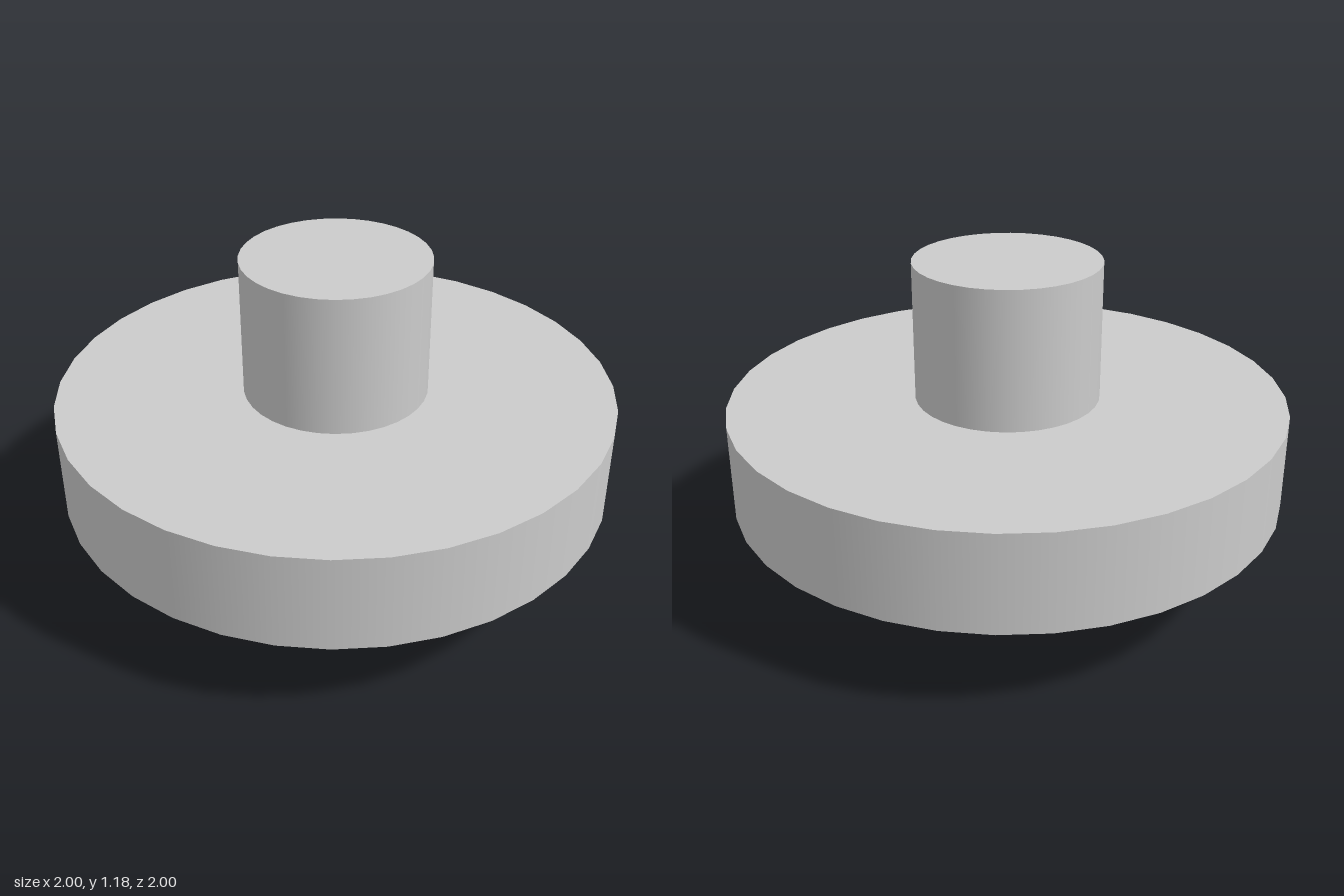
import * as THREE from 'three';

const SIDES = 36;

export function createModel() {
  const group = new THREE.Group();
  group.name = 'flangedShaft';
  const material = new THREE.MeshStandardMaterial({ color: 0xcccccc });

  // Upright cylinder between two heights
  const addCylinder = (name, radius, bottom, top) => {
    const height = top - bottom;
    const mesh = new THREE.Mesh(new THREE.CylinderGeometry(radius, radius, height, SIDES), material);
    mesh.name = name;
    mesh.position.y = bottom + height / 2;
    group.add(mesh);
  };

  // Coaxial stack, from the ground up
  addCylinder('lowerBoss', 0.473, 0, 0.253);
  addCylinder('collar', 0.541, 0.253, 0.336);
  addCylinder('disc', 1, 0.336, 0.683);
  addCylinder('shaft', 0.333, 0.683, 1.185);

  return group;
}
